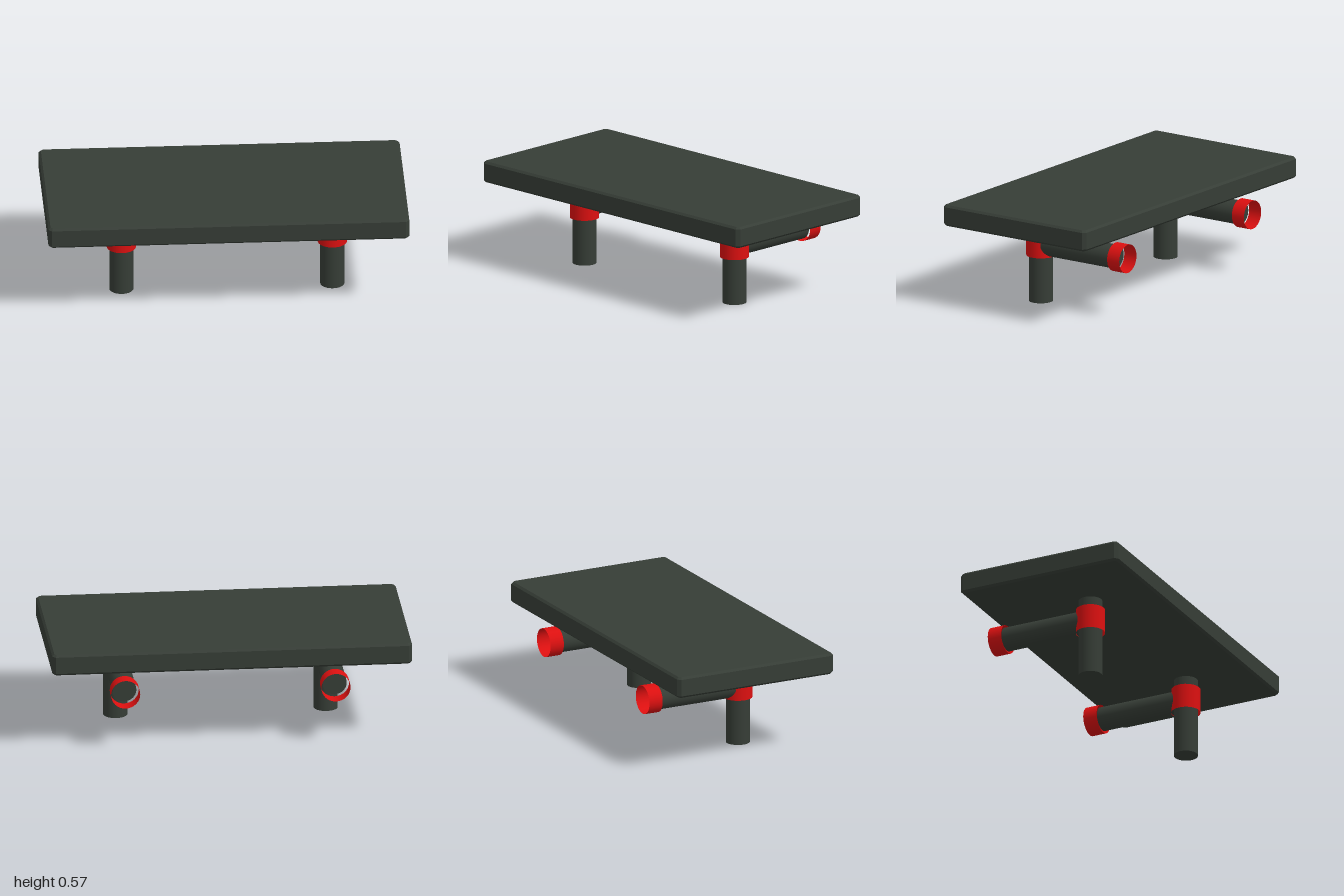
import * as THREE from 'three';

export function createModel() {
  const model = new THREE.Group();
  const charcoal = new THREE.MeshStandardMaterial({ name: 'charcoal', color: 0x363d36 });
  const red = new THREE.MeshStandardMaterial({ name: 'red', color: 0xdc1010, side: THREE.DoubleSide });

  const add = (parent, name, geometry, material, x = 0, y = 0, z = 0) => {
    const mesh = new THREE.Mesh(geometry, material);
    mesh.name = name;
    mesh.position.set(x, y, z);
    parent.add(mesh);
    return mesh;
  };

  // Slab with small chamfers on every edge
  const c = 0.012, w = 1 - c, d = 0.488 - c, h = 0.12;
  const outline = new THREE.Shape([
    [-w + c, -d], [w - c, -d], [w, -d + c], [w, d - c],
    [w - c, d], [-w + c, d], [-w, d - c], [-w, -d + c],
  ].map(([x, y]) => new THREE.Vector2(x, y)));
  const slab = new THREE.ExtrudeGeometry(outline, {
    depth: h - 2 * c, bevelEnabled: true, bevelSegments: 1, bevelSize: c, bevelThickness: c,
  });
  slab.rotateX(-Math.PI / 2);
  add(model, 'slab', slab, charcoal, 0, 0.455 + c, 0);

  // Two supports, each a post with a collar and a pipe running to the back
  const pipeRadius = 0.067, ringRadius = 0.081, armY = 0.331, postZ = 0.108;
  for (const [side, x] of [['right', -0.575], ['left', 0.594]]) {
    const support = new THREE.Group();
    support.name = side + 'Support';
    support.position.x = x;
    model.add(support);

    add(support, 'post', new THREE.CylinderGeometry(pipeRadius, pipeRadius, 0.46, 32), charcoal, 0, 0.23, postZ);
    add(support, 'collar', new THREE.CylinderGeometry(ringRadius, ringRadius, 0.14, 32, 1, true), red, 0, armY, postZ);

    // Pipe ends just inside the open end ring
    const front = postZ, back = -0.41;
    const arm = new THREE.CylinderGeometry(pipeRadius, pipeRadius, front - back, 32).rotateX(Math.PI / 2);
    add(support, 'arm', arm, charcoal, 0, armY, (front + back) / 2);
    const ring = new THREE.CylinderGeometry(ringRadius, ringRadius, 0.083, 32, 1, true).rotateX(Math.PI / 2);
    add(support, 'endRing', ring, red, 0, armY, -0.4465);
  }
  return model;
}
